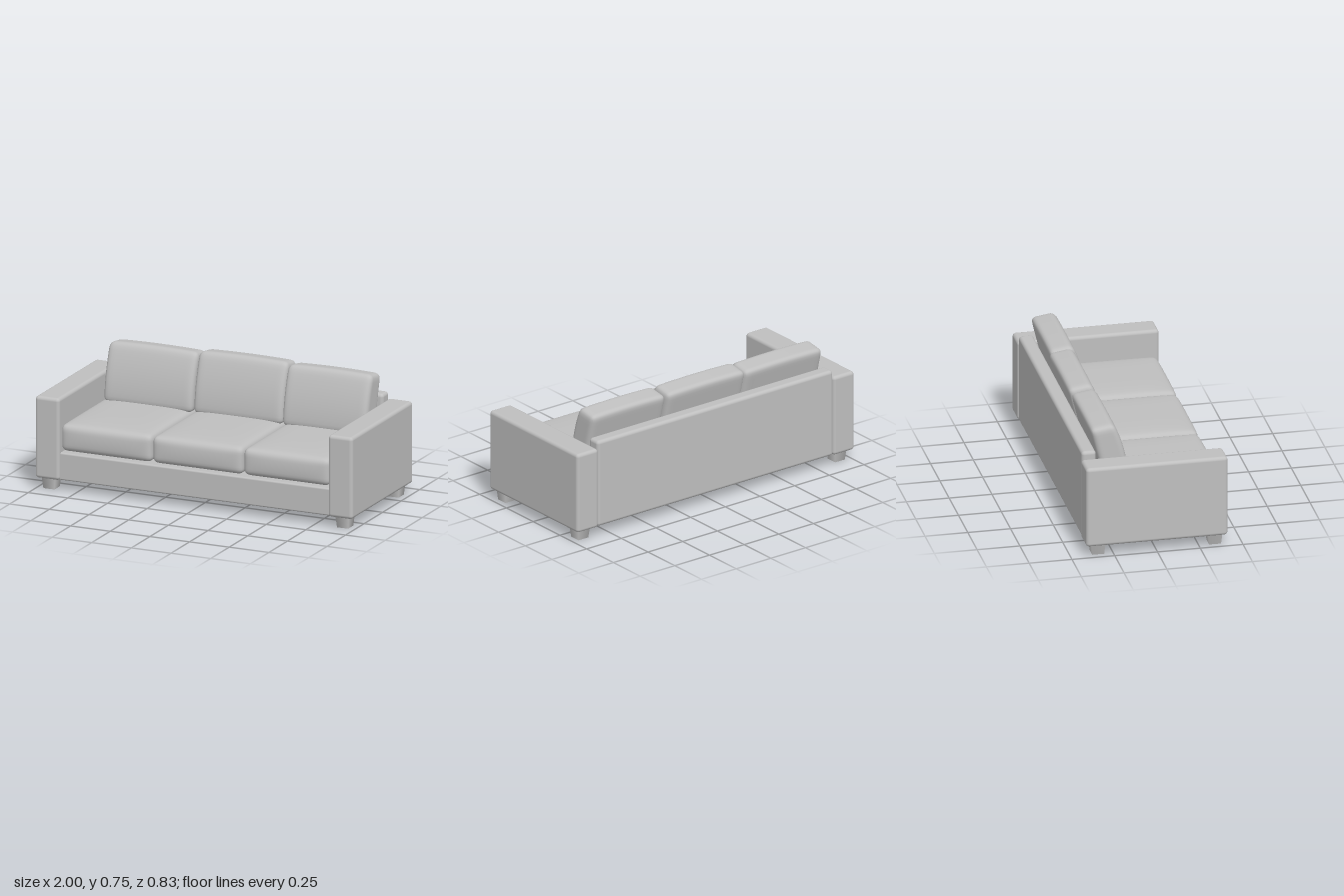
import * as THREE from 'three';
import { mergeVertices } from 'three/addons/utils/BufferGeometryUtils.js';
import { RoundedBoxGeometry } from 'three/addons/geometries/RoundedBoxGeometry.js';

const fabric = new THREE.MeshStandardMaterial({ color: 0xbfbfbf });
fabric.name = 'light grey';

function addMesh(group, name, geometry) {
  const mesh = new THREE.Mesh(geometry, fabric);
  mesh.name = name;
  group.add(mesh);
  return mesh;
}

// Rounded block given by its limits on each axis
function addBlock(group, name, [x0, x1], [y0, y1], [z0, z1], radius) {
  const mesh = addMesh(group, name, new RoundedBoxGeometry(x1 - x0, y1 - y0, z1 - z0, 4, radius));
  mesh.position.set((x0 + x1) / 2, (y0 + y1) / 2, (z0 + z1) / 2);
}

// Soft box: rows of vertices gather at the rounded edges, then shape(p, n) moves
// each point; n holds its place in the box from -1 to 1 on every axis
function softBox(w, h, d, radius, shape) {
  const geo = new THREE.BoxGeometry(2, 2, 2, 22, 16, 22);
  geo.deleteAttribute('uv');
  geo.deleteAttribute('normal');
  const half = new THREE.Vector3(w / 2, h / 2, d / 2);
  const inner = half.clone().subScalar(radius);
  const low = inner.clone().negate();
  const ease = (u) => Math.sign(u) * (1 - (1 - Math.abs(u)) ** 2);
  const pos = geo.attributes.position;
  const p = new THREE.Vector3();
  for (let i = 0; i < pos.count; i++) {
    p.fromBufferAttribute(pos, i);
    p.set(ease(p.x), ease(p.y), ease(p.z)).multiply(half);
    const core = p.clone().clamp(low, inner);
    p.sub(core).setLength(radius).add(core);
    shape(p, p.clone().divide(half));
    pos.setXYZ(i, p.x, p.y, p.z);
  }
  const merged = mergeVertices(geo, 1e-5);
  merged.computeVertexNormals();
  return merged;
}

// Seat cushion with a gentle crown and a softly swollen front
function seatCushion(w) {
  return softBox(w, 0.16, 0.74, 0.035, (p, n) => {
    const crown = (1 - n.x ** 4) * (1 - n.z ** 4);
    p.y += 0.014 * crown * Math.max(n.y, 0);
    p.z += 0.01 * (1 - n.y ** 2) * (1 - n.x ** 4) * Math.max(n.z, 0);
  });
}

// Leaning back cushion, thinner and set further back at the top
function backCushion(w, top) {
  const bottom = 0.39;
  return softBox(w, top - bottom, 0.16, 0.035, (p, n) => {
    const v = (n.y + 1) / 2;
    const t = (n.z + 1) / 2;
    const front = -0.128 - 0.085 * v * v;
    const rear = -0.272 - 0.08 * v;
    p.z = rear + (front - rear) * t;
    p.y = bottom + v * (top - bottom) - 0.022 * (1 - t) * v;
    p.y += 0.006 * v * (1 - n.x ** 2) - 0.004 * v;
  });
}

export function createModel() {
  const sofa = new THREE.Group();
  sofa.name = 'sofa';

  // Frame
  addBlock(sofa, 'base', [-0.86, 0.86], [0.065, 0.228], [-0.39, 0.393], 0.01);
  addBlock(sofa, 'backPanel', [-0.85, 0.85], [0.065, 0.594], [-0.41, -0.325], 0.02);

  // Arms and tapered legs
  for (const side of [1, -1]) {
    const word = side > 0 ? 'left' : 'right';
    const xs = side > 0 ? [0.847, 1] : [-1, -0.847];
    addBlock(sofa, word + 'Arm', xs, [0.065, 0.552], [-0.415, 0.412], 0.02);
    for (const [end, z] of [['Front', 0.345], ['Back', -0.338]]) {
      const geo = new THREE.CylinderGeometry(0.042 * Math.SQRT2, 0.035 * Math.SQRT2, 0.07, 4);
      geo.rotateY(Math.PI / 4);
      addMesh(sofa, word + end + 'Leg', geo).position.set(side * 0.925, 0.035, z);
    }
  }

  // Seat cushions: left and right limits
  [[-0.846, -0.275], [-0.271, 0.299], [0.303, 0.846]].forEach(([a, b], i) => {
    addMesh(sofa, 'seatCushion' + (i + 1), seatCushion(b - a))
      .position.set((a + b) / 2, 0.318, 0.027);
  });

  // Back cushions: limits, top height and depth offset
  [[-0.825, -0.265, 0.738, 0], [-0.262, 0.3, 0.748, -0.008], [0.303, 0.835, 0.742, 0.004]]
    .forEach(([a, b, top, dz], i) => {
      addMesh(sofa, 'backCushion' + (i + 1), backCushion(b - a, top))
        .position.set((a + b) / 2, 0, dz);
    });

  return sofa;
}
